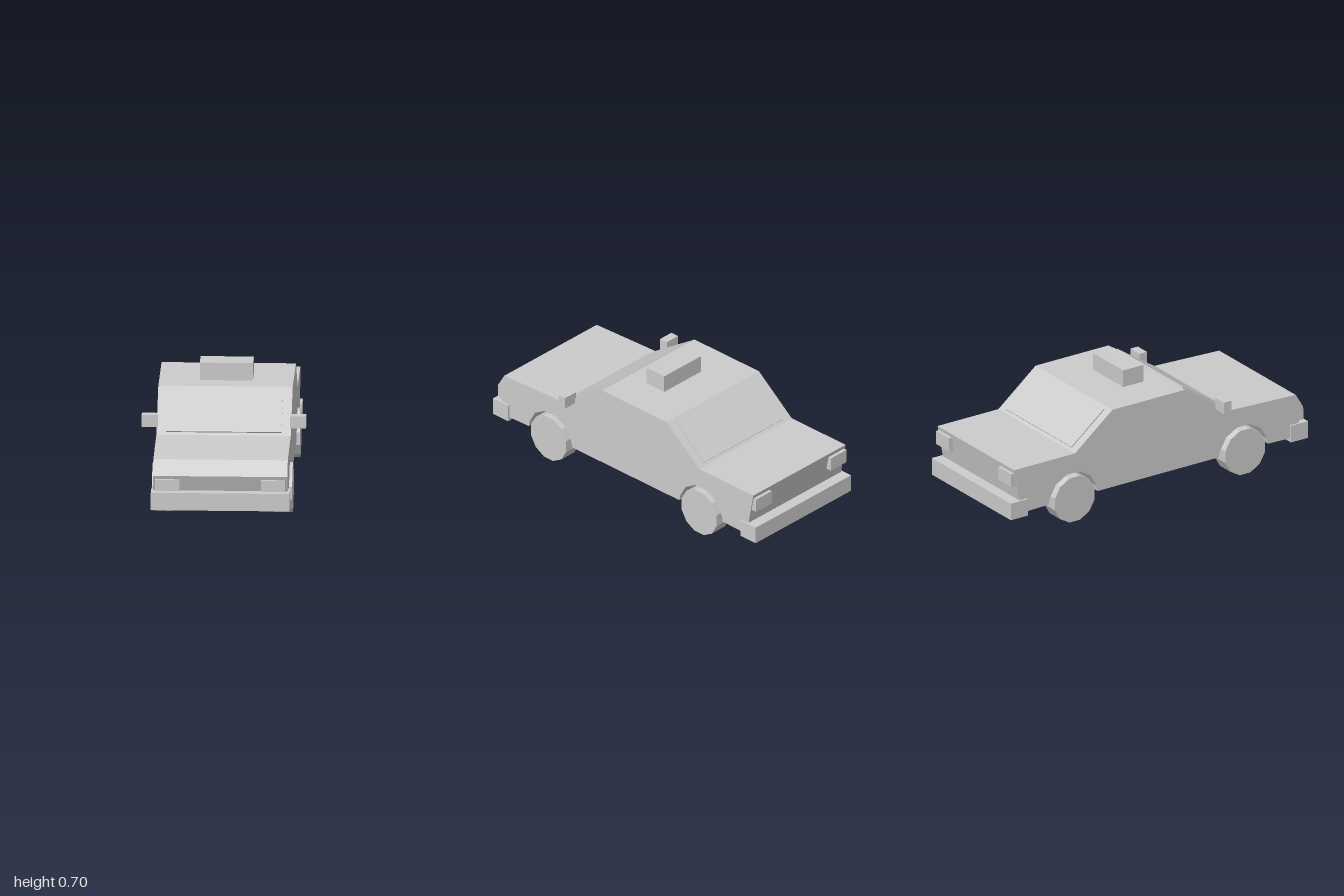
import * as THREE from 'three';

export function createModel() {
  const car = new THREE.Group();
  car.name = 'car';
  const grey = new THREE.MeshStandardMaterial({ color: 0xcccccc, flatShading: true });
  grey.name = 'plain grey';

  const add = (name, geometry, x, y, z) => {
    const mesh = new THREE.Mesh(geometry, grey);
    mesh.name = name;
    mesh.position.set(x, y, z);
    car.add(mesh);
    return mesh;
  };
  // Box given by its limits on each axis
  const box = (name, x0, x1, y0, y1, z0, z1) =>
    add(name, new THREE.BoxGeometry(x1 - x0, y1 - y0, z1 - z0),
      (x0 + x1) / 2, (y0 + y1) / 2, (z0 + z1) / 2);

  // Body: side outline (z, y) with wheel arches, extruded across the width
  const axles = [0.573, -0.573];
  const halfWidth = 0.372;
  const floor = 0.135;
  const outline = [
    [-0.92, 0.13], [-0.97, 0.4], [-0.56, 0.4], [-0.31, 0.6], [0.18, 0.6],
    [0.48, 0.4], [0.925, 0.383], [0.975, 0.3], [0.915, 0.13],
  ];
  for (const axle of axles) {
    outline.push([axle + 0.165, floor]);
    for (let a = 15; a <= 165; a += 30) {
      const t = THREE.MathUtils.degToRad(a);
      outline.push([axle + 0.165 * Math.cos(t), 0.125 + 0.165 * Math.sin(t)]);
    }
    outline.push([axle - 0.165, floor]);
  }
  const shape = new THREE.Shape(outline.map(([z, y]) => new THREE.Vector2(z, y)));
  const body = new THREE.ExtrudeGeometry(shape, { depth: 2 * halfWidth, bevelEnabled: false });
  body.translate(0, 0, -halfWidth).rotateY(-Math.PI / 2);
  add('body', body, 0, 0, 0);

  // Wheels, with a thin beam under the top of each arch
  const wheel = new THREE.CylinderGeometry(0.1377, 0.1377, 0.104, 12, 1, false, Math.PI / 12);
  wheel.rotateZ(Math.PI / 2);
  for (const axle of axles) {
    for (const side of [-1, 1]) add('wheel', wheel, side * 0.336, 0.133, axle);
    box('archBeam', -0.33, 0.33, 0.268, 0.29, axle - 0.03, axle + 0.03);
  }

  // Bumpers
  box('frontBumper', -0.384, 0.384, 0.11, 0.21, 0.885, 1);
  box('rearBumper', -0.384, 0.384, 0.11, 0.21, -1, -0.885);

  // Lamps and mirrors on both sides
  for (const side of [-1, 1]) {
    const pair = (name, a, b, ...rest) =>
      box(name, Math.min(side * a, side * b), Math.max(side * a, side * b), ...rest);
    pair('headlight', 0.225, 0.36, 0.218, 0.28, 0.93, 0.985);
    pair('taillight', 0.238, 0.365, 0.298, 0.377, -0.985, -0.94);
    pair('mirror', 0.365, 0.455, 0.432, 0.5, 0.385, 0.435);
  }

  // Roof sign
  box('roofSign', -0.147, 0.147, 0.595, 0.7, -0.08, 0.057);

  // Window panes lying just proud of the sloping pillars
  const pane = (name, z, run) => {
    const length = Math.hypot(run, 0.2) * 0.88;
    const mesh = add(name, new THREE.BoxGeometry(0.64, 0.009, length), 0, 0.502, z);
    mesh.rotation.x = Math.atan(0.2 / run) * Math.sign(z);
  };
  pane('windshield', 0.332, 0.3);
  pane('rearWindow', -0.437, 0.25);

  return car;
}
